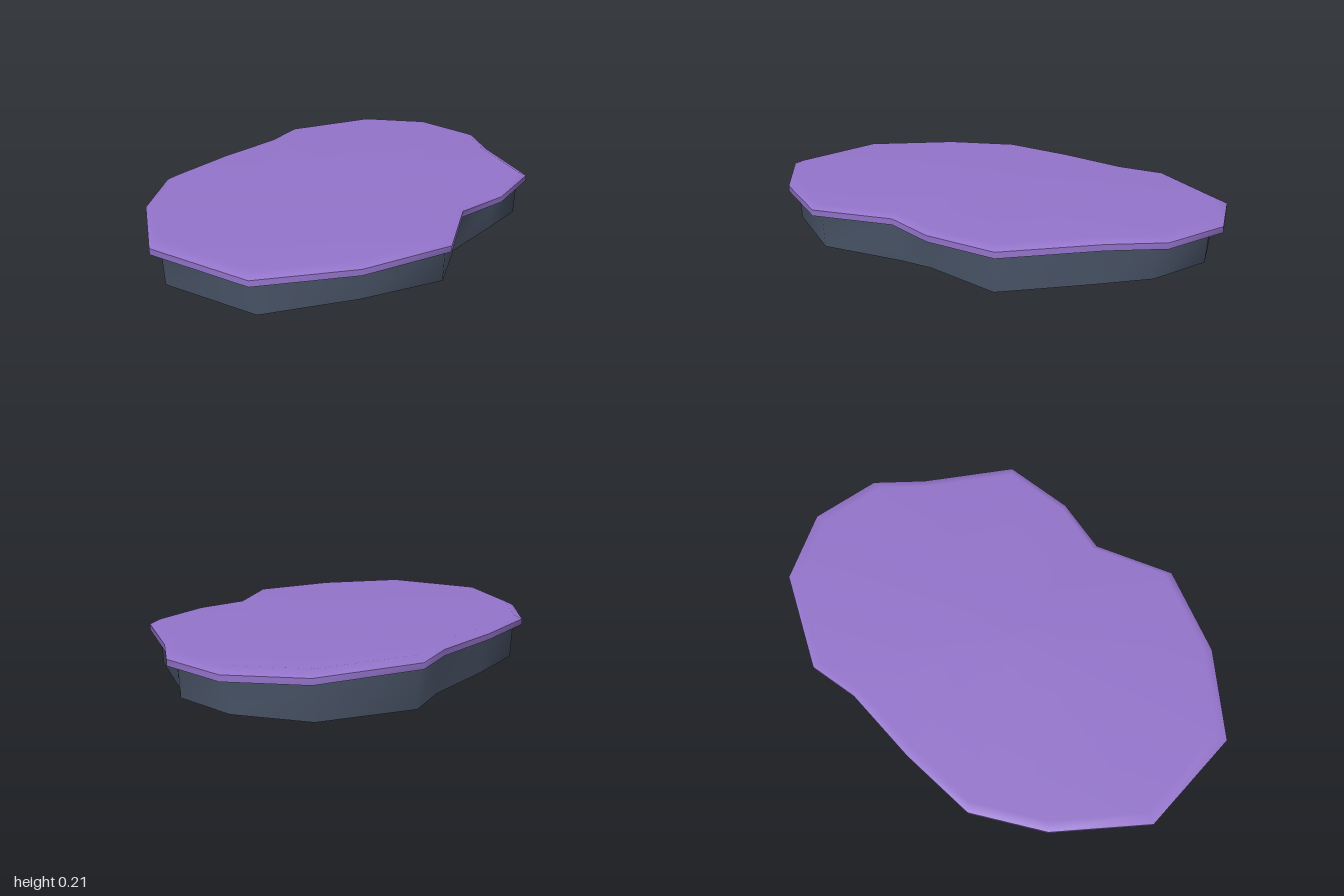
import * as THREE from 'three';

// Irregular outline as x, z, and height of the rough lower edge
const OUTLINE = [
  [1, -0.39, 0.03], [1, -0.08, 0.03], [0.87, 0.12, 0.015], [0.69, 0.49, 0.015],
  [0.39, 0.58, 0.045], [0.14, 0.575, 0.005], [-0.16, 0.77, 0.025], [-0.55, 0.685, 0.045],
  [-0.9, 0.48, 0.025], [-1, 0.01, 0.02], [-0.78, -0.36, 0.02], [-0.525, -0.585, 0.02],
  [-0.18, -0.66, 0.015], [0.17, -0.705, 0.005], [0.38, -0.78, 0], [0.81, -0.65, 0.015],
];

// Outline scaled about the centre, at a fixed height or at the rough lower edge
const ring = (scale, y) => OUTLINE.map(([x, z, low]) => [x * scale, y ?? low, z * scale]);

// Skin between rings (listed from bottom to top), smooth inside one skin;
// a ring holding a single point closes the skin as a fan
function skin(rings) {
  const n = OUTLINE.length;
  const positions = [], index = [], starts = [];
  for (const r of rings) {
    starts.push(positions.length / 3);
    r.forEach((p) => positions.push(...p));
  }
  for (let k = 0; k < rings.length - 1; k++) {
    const at = (j, i) => starts[j] + (i % rings[j].length);
    for (let i = 0; i < n; i++) {
      const a = at(k, i), b = at(k, i + 1), c = at(k + 1, i), d = at(k + 1, i + 1);
      if (a !== b) index.push(a, c, b);
      if (c !== d) index.push(b, c, d);
    }
  }
  const geometry = new THREE.BufferGeometry();
  geometry.setAttribute('position', new THREE.Float32BufferAttribute(positions, 3));
  geometry.setIndex(index);
  geometry.computeVertexNormals();
  return geometry;
}

export function createModel() {
  const model = new THREE.Group();
  model.name = 'platform';

  const purple = new THREE.MeshStandardMaterial({ color: 0x9575cd });
  purple.name = 'purple';
  const slate = new THREE.MeshStandardMaterial({ color: 0x4a5568 });
  slate.name = 'slate';

  const add = (name, material, ...rings) => {
    const mesh = new THREE.Mesh(skin(rings), material);
    mesh.name = name;
    model.add(mesh);
  };

  // Overhanging surface slab with a shallow bevel
  add('topSurface', purple, ring(1, 0.19), ring(0.95, 0.21), [[0, 0.21, 0]]);
  add('topRim', purple, ring(1, 0.165), ring(1, 0.19));

  // Rock base with an uneven underside
  add('rimUnderside', slate, ring(0.95, 0.165), ring(1, 0.165));
  add('rockWall', slate, ring(0.94), ring(0.95, 0.165));
  add('rockUnderside', slate, [[0, 0.02, 0]], ring(0.94));

  return model;
}
